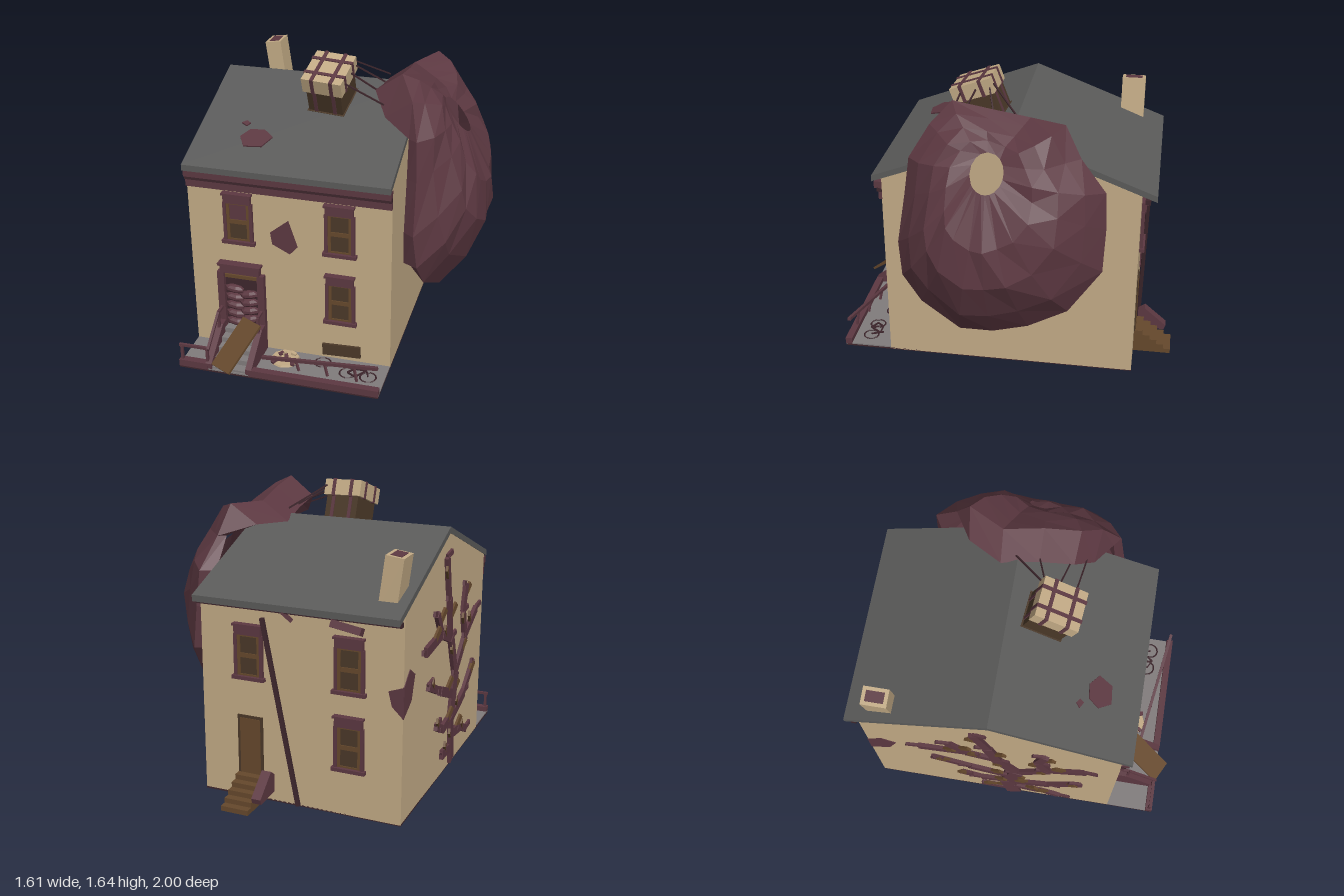
import * as THREE from 'three';

const mat = (color) => new THREE.MeshStandardMaterial({ color, flatShading: true, side: THREE.DoubleSide });
const TAN = mat(0xc2aa85), PURPLE = mat(0x5c3841), DARK = mat(0x3d262c), ROOF = mat(0x5a5a59);
const GREY = mat(0x807b7b), BROWN = mat(0x65482c), DARKBROWN = mat(0x4a3828);
const V = (a) => new THREE.Vector3(...a);

function add(parent, name, geo, material, pos = [0, 0, 0], rot = [0, 0, 0]) {
  const m = new THREE.Mesh(geo, material);
  m.name = name;
  m.position.set(...pos);
  m.rotation.set(...rot);
  parent.add(m);
  return m;
}
const box = (p, name, material, size, pos, rot) => add(p, name, new THREE.BoxGeometry(...size), material, pos, rot);

// square bar from a to b
function bar(p, name, material, a, b, w = 0.015, h = w) {
  const A = V(a), B = V(b);
  const m = box(p, name, material, [w, h, A.distanceTo(B)], A.clone().add(B).multiplyScalar(0.5).toArray());
  m.lookAt(B);
  return m;
}

// (z, y) outline swept along x from x0 to x1
function prism(p, name, material, pts, x0, x1) {
  const s = new THREE.Shape(pts.map((q) => new THREE.Vector2(...q)));
  const g = new THREE.ExtrudeGeometry(s, { depth: x1 - x0, bevelEnabled: false });
  return add(p, name, g.rotateY(-Math.PI / 2).translate(x1, 0, 0), material);
}

// flat polygon slab in its own xy plane
function patch(p, name, material, pts, pos, rot, depth = 0.008) {
  const s = new THREE.Shape(pts.map((q) => new THREE.Vector2(...q)));
  return add(p, name, new THREE.ExtrudeGeometry(s, { depth, bevelEnabled: false }), material, pos, rot);
}

function sashWindow(parent, x, y, back, upper = DARKBROWN) {
  const g = new THREE.Group();
  g.name = 'window';
  box(g, 'sill', PURPLE, [0.19, 0.02, 0.035], [0, 0.01, 0.012]);
  box(g, 'lintel', PURPLE, [0.155, 0.05, 0.03], [0, 0.275, 0.012]);
  box(g, 'lintelCap', PURPLE, [0.17, 0.012, 0.045], [0, 0.305, 0.015]);
  for (const s of [-1, 1]) box(g, 'jamb', PURPLE, [0.018, 0.24, 0.022], [s * 0.075, 0.13, 0.008]);
  for (const [i, m] of [DARKBROWN, upper].entries()) {
    const cy = 0.075 + i * 0.117;
    box(g, 'pane', m, [0.11, 0.1, 0.008], [0, cy, 0.002]);
    for (const s of [-1, 1]) {
      box(g, 'sashStile', BROWN, [0.018, 0.117, 0.014], [s * 0.058, cy, 0.005]);
      box(g, 'sashRail', BROWN, [0.13, 0.014, 0.013], [0, cy + s * 0.053, 0.005]);
    }
  }
  g.position.set(x, y, back ? -0.785 : 0.655);
  if (back) g.rotation.y = Math.PI;
  parent.add(g);
}

// draped canopy: rings from the vent hole to the outline, then a turned-in rim
function canopy() {
  const outline = [[.34, 1.61, .25], [.34, 1.575, .05], [.32, 1.53, -.17], [.42, 1.54, -.37], [.46, 1.37, -.46],
    [.5, 1.2, -.6], [.52, 1, -.61], [.55, .75, -.6], [.58, .5, -.42], [.58, .38, -.2], [.57, .32, 0], [.57, .32, .19],
    [.52, .45, .42], [.5, .6, .53], [.48, .8, .55], [.48, 1.1, .5], [.47, 1.32, .47], [.42, 1.5, .36]];
  const n = outline.length, rings = [];
  for (const t of [0, 0.3, 0.55, 0.8, 1]) {
    rings.push(outline.map(([x, y, z], i) => {
      const a = Math.atan2(y - 1.15, z - 0.02), hy = 1.32 + 0.09 * Math.sin(a), hz = 0.02 + 0.09 * Math.cos(a);
      const len = Math.hypot(y - hy, z - hz);
      const crease = t > 0 && t < 1 ? 0.012 * Math.sin(i * 2.4 + t * 9) : 0;
      const bulge = 0.21 * len * Math.sin(Math.PI * t) + crease;
      const hx = 0.61 - (hy - 1.32) * 0.8;
      return [hx + (x - hx) * t + bulge, hy + (y - hy) * t, hz + (z - hz) * t];
    }));
  }
  rings.push(outline.map(([x, y, z]) => (y > 1.45 ? [x - 0.15, y - 0.11, z * 0.95] : [Math.max(x - 0.1, 0.42), y + (y < 0.6 ? 0.1 : 0), z * 0.92])));
  const idx = [];
  for (let r = 0; r < rings.length - 1; r++) for (let i = 0; i < n; i++) {
    const a = r * n + i, b = r * n + (i + 1) % n;
    idx.push(a, a + n, b, b, a + n, b + n);
  }
  const g = new THREE.BufferGeometry();
  g.setAttribute('position', new THREE.Float32BufferAttribute(rings.flat(2), 3));
  g.setIndex(idx);
  const flat = g.toNonIndexed();
  flat.computeVertexNormals();
  return flat;
}

export function createModel() {
  const root = new THREE.Group();
  root.name = 'ruinedHouse';

  // shell and roof
  prism(root, 'walls', TAN, [[.655, .005], [.655, 1.14], [-.07, 1.415], [-.785, 1.14], [-.785, .005]], -.76, .39);
  prism(root, 'roof', ROOF, [[.71, 1.12], [.71, 1.155], [-.07, 1.45], [-.87, 1.145], [-.87, 1.11], [-.07, 1.415]], -.762, .392);
  box(root, 'groundPlate', DARK, [1.15, 0.01, 1.72], [-.185, 0.005, .075]);
  box(root, 'friezeBoard', PURPLE, [1.152, 0.045, 0.02], [-.185, 1.035, .663]);
  box(root, 'corniceShadow', DARK, [1.152, 0.025, 0.03], [-.185, 1.07, .668]);
  box(root, 'cornice', PURPLE, [1.152, 0.04, 0.045], [-.185, 1.1, .675]);
  box(root, 'rearGutter', DARK, [1.15, 0.025, 0.03], [-.185, 1.105, -.82]);
  const stack = new THREE.Group();
  stack.name = 'chimney';
  box(stack, 'chimneyStack', TAN, [.1, .3, .14], [0, 0, 0]);
  box(stack, 'chimneyFlue', PURPLE, [.06, .004, .1], [0, .151, 0]);
  stack.position.set(-.665, 1.275, -.675);
  stack.rotation.z = 0.13;
  root.add(stack);

  // damage patches on the roof and walls
  const slope = -Math.PI / 2 + 0.36;
  patch(root, 'roofHole', PURPLE, [[-.09, 0], [-.05, .06], [.03, .07], [.09, .02], [.05, -.06], [-.05, -.07]], [-.415, 1.248, .48], [slope, 0, 0]);
  patch(root, 'smallRoofHole', PURPLE, [[-.025, 0], [0, .022], [.025, .005], [.01, -.02]], [-.505, 1.285, .38], [slope, 0, 0]);
  patch(root, 'frontWallHole', PURPLE, [[-.185, .865], [-.29, .78], [-.28, .71], [-.18, .66], [-.135, .71]], [0, 0, .652]);
  prism(root, 'cornerHoleSide', PURPLE, [[-.787, .6], [-.67, .66], [-.62, .79], [-.7, .84], [-.787, .77]], -.764, -.755);
  patch(root, 'cornerHoleRear', PURPLE, [[-.762, .6], [-.7, .66], [-.68, .74], [-.762, .77]], [0, 0, -.789]);

  // windows
  sashWindow(root, -.47, .69, false, PURPLE);
  sashWindow(root, .105, .69, false);
  sashWindow(root, .105, .26, false);
  for (const [x, y] of [[-.47, .69], [.105, .69], [-.47, .26]]) sashWindow(root, x, y, true);
  box(root, 'basementWindow', DARKBROWN, [.22, .07, .02], [.11, .08, .66], [0, 0, .04]);
  box(root, 'fallenBracket', PURPLE, [.17, .04, .05], [-.47, 1.06, -.83], [.4, 0, .15]);

  // front door with piled sacks
  box(root, 'doorway', DARK, [.2, .35, .008], [-.47, .325, .656]);
  for (const x of [-.585, -.35]) box(root, 'doorPilaster', PURPLE, [.04, .36, .04], [x, .325, .668]);
  box(root, 'doorLintel', PURPLE, [.23, .05, .045], [-.47, .53, .67]);
  box(root, 'doorLintelCap', PURPLE, [.25, .014, .06], [-.47, .56, .675]);
  box(root, 'transom', BROWN, [.19, .02, .02], [-.47, .475, .662]);
  for (let i = 0; i < 9; i++) {
    const sack = add(root, 'sack', new THREE.SphereGeometry(.06, 7, 5), PURPLE,
      [-.47 + (i % 2 ? .045 : -.04), .18 + i * .027, .668], [0, 0, i % 2 ? .15 : -.12]);
    sack.scale.set(1, .42, .5);
  }

  // front steps, yard and railings
  for (let i = 0; i < 5; i++) box(root, 'frontStep', GREY, [.21, .03 * (i + 1), .054], [-.467, .015 * (i + 1), .9 - i * .054]);
  for (const x of [-.585, -.35]) {
    prism(root, 'stringer', PURPLE, [[.655, .01], [.655, .19], [.74, .19], [.935, .05], [.935, .01]], x - .018, x + .018);
    bar(root, 'handrail', PURPLE, [x, .275, .66], [x, .275, .75]);
    if (x < -.5) bar(root, 'handrail', PURPLE, [x, .275, .75], [x, .14, .93]);
    bar(root, 'railPost', PURPLE, [x, .15, .75], [x, .275, .751]);
  }
  box(root, 'yard', GREY, [1.15, .008, .28], [-.185, .014, .795]);
  box(root, 'curb', PURPLE, [.17, .04, .04], [-.675, .03, .917]);
  box(root, 'curb', PURPLE, [.74, .04, .04], [.02, .03, .917]);
  bar(root, 'yardRail', PURPLE, [-.76, .14, .917], [-.585, .14, .917]);
  for (const x of [-.745, -.595]) bar(root, 'yardRailPost', PURPLE, [x, .03, .917], [x, .14, .918]);
  bar(root, 'fallenRail', PURPLE, [-.31, .06, .81], [.38, .18, .91], .018);
  for (const t of [.3, .55, .8]) {
    const x = -.31 + .69 * t, z = .81 + .1 * t;
    bar(root, 'fallenRailPost', PURPLE, [x, .06 + .12 * t, z], [x + .02, .02 + .06 * t, z + .01], .012);
  }
  bar(root, 'fallenDoor', BROWN, [-.39, .235, .735], [-.505, .045, .96], .14, .015);

  // rubble and a bicycle lying on the ground
  add(root, 'rubblePatch', new THREE.CylinderGeometry(.08, .085, .012, 9), TAN, [-.2, .022, .74]);
  for (let i = 0; i < 9; i++) box(root, 'rubble', i % 3 ? PURPLE : TAN, [.03, .015, .02], [-.2 + .065 * Math.cos(i * 2.4), .034, .745 + .05 * Math.sin(i * 1.7)], [0, i, .2]);
  for (const [x, z] of [[.02, .73], [.18, .79], [.3, .8]]) add(root, 'bicycleWheel', new THREE.TorusGeometry(.045, .005, 4, 12), DARK, [x, .03, z], [Math.PI / 2, 0, 0]);
  for (const [a, b] of [[[.18, .79], [.23, .82]], [[.18, .79], [.21, .75]], [[.21, .75], [.28, .75]], [[.23, .82], [.28, .75]], [[.3, .8], [.27, .73]], [[.21, .75], [.23, .82]]])
    bar(root, 'bicycleFrame', DARK, [a[0], .035, a[1]], [b[0], .035, b[1]], .008);

  // rear door, steps and drainpipe
  box(root, 'rearDoorFrame', DARKBROWN, [.15, .34, .012], [.105, .31, -.786]);
  box(root, 'rearDoor', BROWN, [.12, .32, .016], [.105, .305, -.787]);
  for (let i = 0; i < 5; i++) box(root, 'rearStep', BROWN, [.16, .028, .22 - i * .042], [.1, .018 + i * .028, -.785 - (.22 - i * .042) / 2]);
  prism(root, 'rearSideBoard', PURPLE, [[-.8, .07], [-.8, .17], [-.84, .2], [-.97, .09], [-.96, .06]], -.04, .015);
  bar(root, 'drainpipe', DARK, [.01, 1.05, -.82], [-.18, .01, -.8], .022);
  bar(root, 'brokenGutterSpout', PURPLE, [-.11, 1.1, -.83], [-.15, 1.05, -.8], .022);

  // dead climbing vine on the left-hand wall, (z, y) paths
  const vine = new THREE.Group();
  vine.name = 'vine';
  const branches = [[[.06, .03], [.02, .32], [.08, .57], [-.03, .81], [-.08, 1.05], [-.15, 1.3]],
    [[.08, .57], [.26, .74], [.47, .85]], [[.26, .74], [.2, .9], [.24, 1.06]], [[.04, .45], [-.2, .55], [-.42, .65]],
    [[-.03, .81], [-.2, .88], [-.3, 1.02]], [[-.2, .88], [-.48, .86]], [[.03, .3], [.27, .38], [.46, .52]],
    [[.02, .32], [-.14, .3], [-.26, .36]], [[.05, .12], [-.14, .14]], [[.04, .2], [.22, .18], [.34, .12]]];
  branches.forEach((path, k) => path.slice(1).forEach((q, i) => {
    const p = path[i], w = (k ? .055 : .085) - i * .009, s = (i + k) % 2 ? 1 : -1;
    bar(vine, 'branch', PURPLE, [-.768, p[1], p[0]], [-.772, q[1], q[0]], .022, w);
    const mz = (p[0] + q[0]) / 2, my = (p[1] + q[1]) / 2;
    bar(vine, 'twig', BROWN, [-.77, my, mz], [-.782, my + .07, mz + s * .07], .014, .035);
    bar(vine, 'twig', PURPLE, [-.77, q[1], q[0]], [-.778, q[1] + .02, q[0] - s * .07], .014, .03);
  }));
  root.add(vine);

  // strapped supply crate resting on the roof
  const crate = new THREE.Group();
  crate.name = 'crate';
  box(crate, 'crateBox', DARKBROWN, [.2, .2, .22], [0, -.015, 0]);
  box(crate, 'pallet', DARKBROWN, [.215, .02, .24], [0, -.115, 0]);
  box(crate, 'tarp', TAN, [.23, .09, .25], [0, .08, 0]);
  for (const s of [-1, 1]) {
    box(crate, 'strapAcross', PURPLE, [.238, .1, .02], [0, .08, s * .06]);
    box(crate, 'strapAlong', PURPLE, [.02, .1, .258], [s * .055, .08, 0]);
    box(crate, 'strapDrop', PURPLE, [.02, .2, .23], [s * .055, -.015, 0]);
  }
  crate.position.set(-.08, 1.475, .165);
  crate.rotation.set(.36, -.1, 0);
  root.add(crate);

  // canopy and its cords
  add(root, 'canopy', canopy(), PURPLE);
  for (const [a, b] of [[[.03, 1.6, .08], [.2, 1.48, -.08]], [[.04, 1.58, .1], [.2, 1.48, .05]], [[.04, 1.56, .18], [.22, 1.48, .22]], [[.03, 1.53, .27], [.26, 1.44, .3]]])
    bar(root, 'cord', DARK, a, b, .008);
  return root;
}
